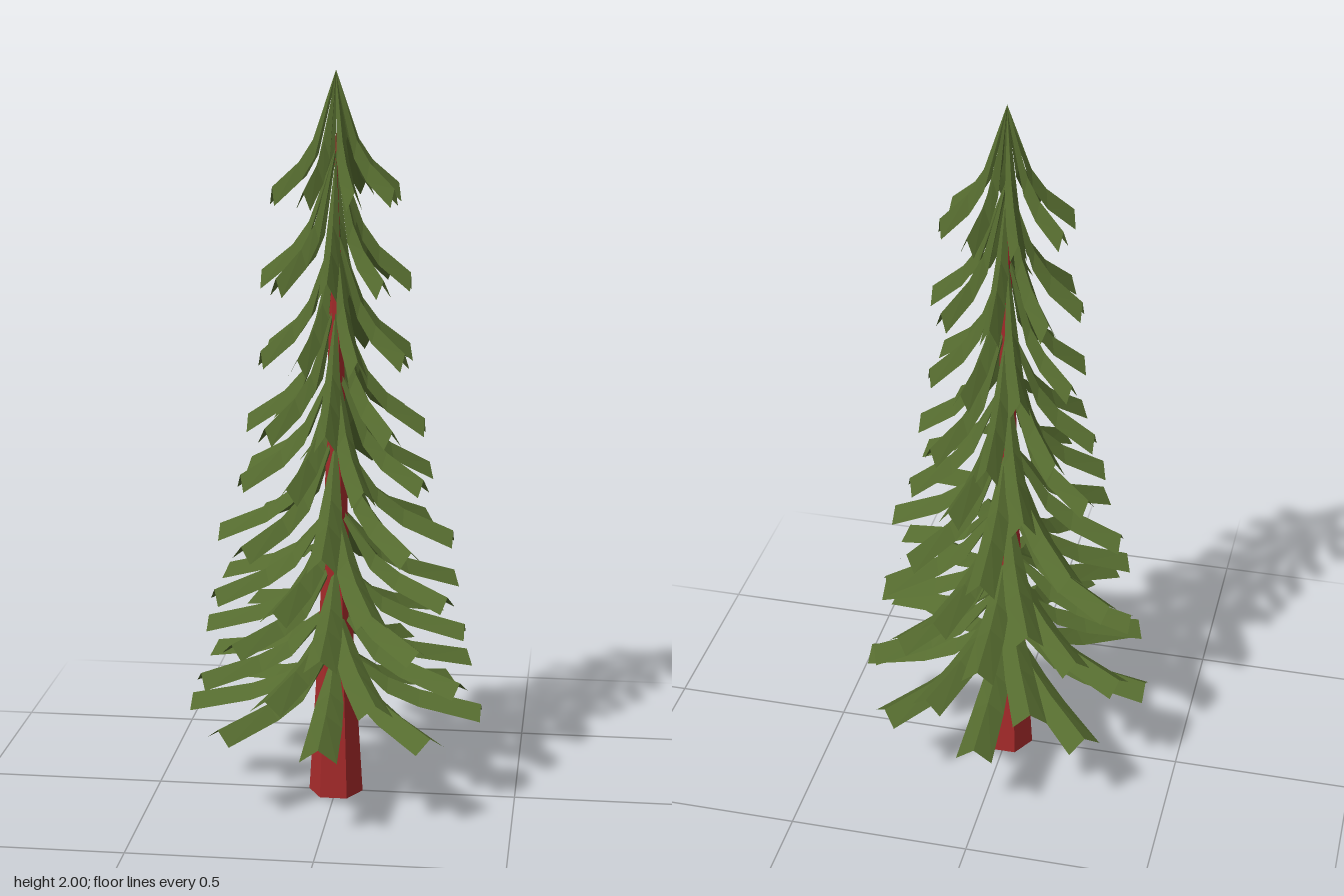
import * as THREE from 'three';

const needleMat = new THREE.MeshStandardMaterial({ color: 0x556b2f, flatShading: true, side: THREE.DoubleSide });
const barkMat = new THREE.MeshStandardMaterial({ color: 0xa52a2a, flatShading: true });

// Tiers from bottom to top: [reach, ridge height at tip, rise from tip to centre, fold depth]
const TIERS = [
  [0.403, 0.27, 0.17, 0.035],
  [0.382, 0.38, 0.175, 0.035],
  [0.355, 0.50, 0.18, 0.035],
  [0.342, 0.615, 0.225, 0.037],
  [0.32, 0.765, 0.27, 0.04],
  [0.267, 0.93, 0.295, 0.042],
  [0.24, 1.075, 0.32, 0.045],
  [0.208, 1.265, 0.325, 0.045],
  [0.2, 1.47, 0.33, 0.048],
  [0.174, 1.70, 0.30, 0.048],
];

// Branch stations: [fraction of reach, fraction of rise, half width / reach, fraction of fold depth]
const STATIONS = [
  [0, 1, 0, 0.4],
  [0.36, 0.4, 0.095, 0.95],
  [0.58, 0.21, 0.11, 1],
  [1, 0, 0.124, 1],
];

// Drooping strip folded along its ridge, running out along +x
function branchGeometry([reach, tipY, rise, depth]) {
  const positions = [];
  const index = [];
  STATIONS.forEach(([r, h, w, d], i) => {
    const x = r * reach, y = tipY + h * rise, z = w * reach;
    positions.push(x, y - d * depth, -z, x, y, 0, x, y - d * depth, z);
    if (i === 0) return;
    for (const side of [0, 1]) {
      const a = (i - 1) * 3 + side, c = i * 3 + side;
      index.push(a, a + 1, c, a + 1, c + 1, c);
    }
  });
  const geo = new THREE.BufferGeometry();
  geo.setAttribute('position', new THREE.Float32BufferAttribute(positions, 3));
  geo.setIndex(index);
  geo.computeVertexNormals();
  return geo;
}

export function createModel() {
  const tree = new THREE.Group();
  tree.name = 'firTree';

  // Six-sided tapering trunk, closed at the base
  const profile = [[0, 0], [0.075, 0], [0.052, 0.38], [0.032, 0.8], [0.02, 1.3], [0, 1.85]]
    .map(([r, y]) => new THREE.Vector2(r, y));
  const trunk = new THREE.Mesh(new THREE.LatheGeometry(profile, 6), barkMat);
  trunk.rotation.y = Math.PI / 2;
  trunk.name = 'trunk';
  tree.add(trunk);

  // Eight branches per tier, every other tier turned by half a step
  TIERS.forEach((tier, t) => {
    const group = new THREE.Group();
    group.name = `branchTier${t + 1}`;
    const geo = branchGeometry(tier);
    for (let k = 0; k < 8; k++) {
      const branch = new THREE.Mesh(geo, needleMat);
      branch.name = 'branch';
      branch.rotation.y = (k + (t % 2) / 2) * Math.PI / 4;
      group.add(branch);
    }
    tree.add(group);
  });
  return tree;
}
